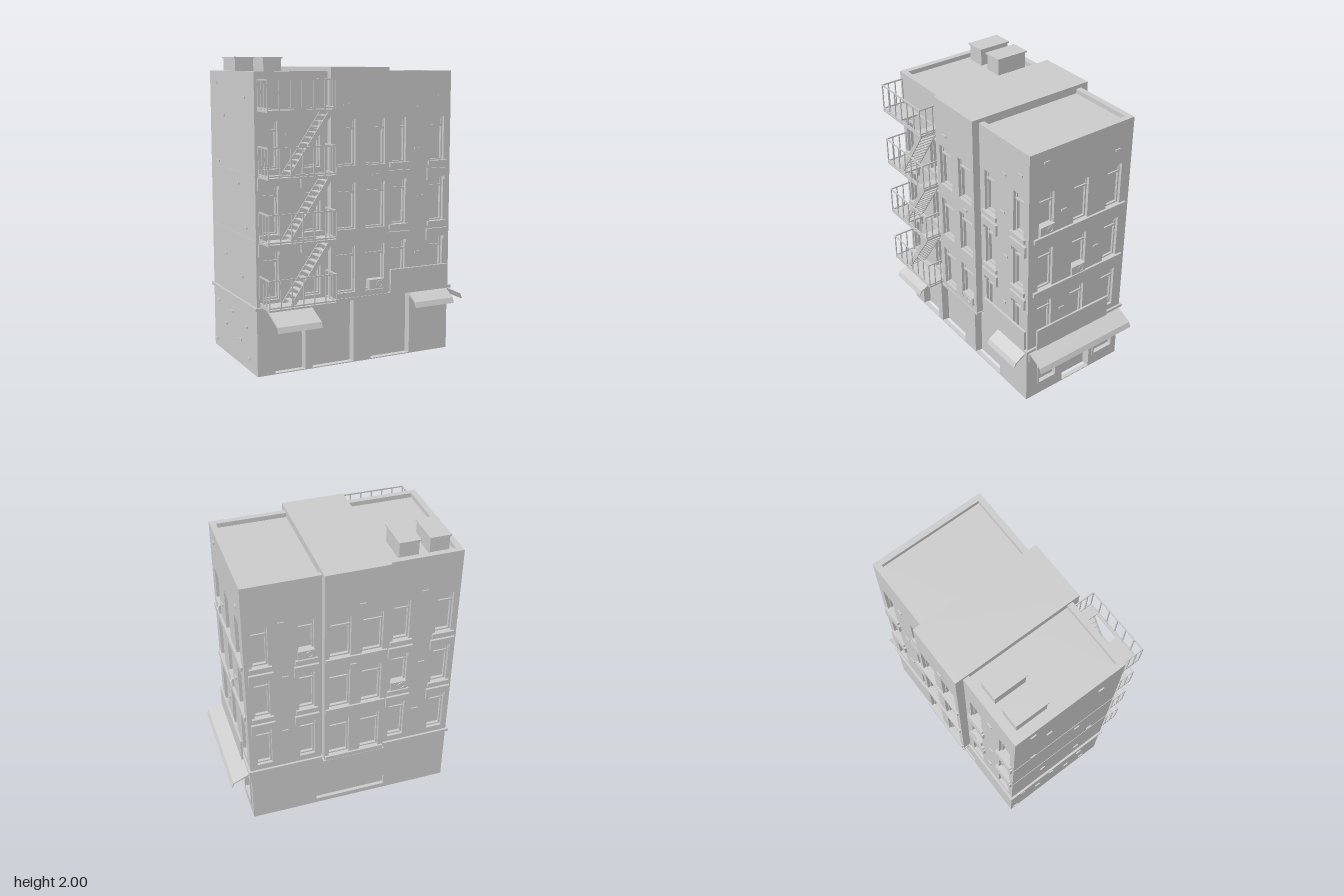
import * as THREE from 'three';

const mat = new THREE.MeshStandardMaterial({ color: 0xcccccc, flatShading: true, side: THREE.DoubleSide });

function add(parent, name, geo) {
  const m = new THREE.Mesh(geo, mat);
  m.name = name;
  parent.add(m);
  return m;
}

// Box given by its limits on each axis
function box(parent, name, x0, x1, y0, y1, z0, z1) {
  const m = add(parent, name, new THREE.BoxGeometry(x1 - x0, y1 - y0, z1 - z0));
  m.position.set((x0 + x1) / 2, (y0 + y1) / 2, (z0 + z1) / 2);
  return m;
}

function rect(T, u0, u1, y0, y1) {
  const s = new T();
  s.moveTo(u0, y0).lineTo(u1, y0).lineTo(u1, y1).lineTo(u0, y1).closePath();
  return s;
}

// Wall slab with rectangular openings [u0, u1, y0, y1]; its outer face lies at distance d
function wall(parent, name, u0, u1, y0, y1, d, thick, holes = []) {
  const s = rect(THREE.Shape, u0, u1, y0, y1);
  holes.forEach(h => s.holes.push(rect(THREE.Path, ...h)));
  const g = new THREE.ExtrudeGeometry(s, { depth: thick, bevelEnabled: false });
  g.translate(0, 0, d - thick);
  return add(parent, name, g);
}

// Rectangular frame around an opening
function frame(parent, name, [u0, u1, y0, y1], t, d, thick) {
  wall(parent, name, u0, u1, y0, y1, d, thick, [[u0 + t, u1 - t, y0 + t, y1 - t]]);
}

// Sash window set back into its opening
function sash(parent, h, d) {
  const [u0, u1, y0, y1] = h;
  frame(parent, 'windowFrame', h, 0.01, d - 0.02, 0.02);
  box(parent, 'upperSash', u0, u1, y1 - 0.06, y1, d - 0.04, d - 0.026);
  box(parent, 'sashRail', u0, u1, y1 - 0.068, y1 - 0.055, d - 0.04, d - 0.016);
}

function lintel(parent, [u0, u1, , y1], d) {
  box(parent, 'lintel', u0 - 0.028, u1 + 0.028, y1 + 0.005, y1 + 0.06, d, d + 0.016);
  for (const u of [u0 - 0.014, u1 + 0.014])
    box(parent, 'lintelEnd', u - 0.014, u + 0.014, y1 - 0.02, y1 + 0.005, d, d + 0.016);
}

function airConditioner(parent, u, y, d) {
  box(parent, 'airConditioner', u - 0.055, u + 0.055, y, y + 0.062, d - 0.04, d + 0.012);
  const fan = add(parent, 'airConditionerFan', new THREE.TorusGeometry(0.02, 0.003, 6, 16));
  fan.position.set(u + 0.02, y + 0.031, d + 0.012);
}

function bricks(parent, list, d) {
  for (const [u, y] of list) box(parent, 'raisedBrick', u - 0.02, u + 0.02, y - 0.007, y + 0.007, d - 0.01, d + 0.008);
}

// Bent awning sheet: slope followed by a short valance
function awning(parent, u0, u1, d, reach, top, low) {
  const s = new THREE.Shape();
  const knee = low + 0.035;
  s.moveTo(0, top).lineTo(reach - 0.015, knee).lineTo(reach, low).lineTo(reach - 0.008, low)
    .lineTo(reach - 0.022, knee - 0.006).lineTo(0, top - 0.012).closePath();
  const g = new THREE.ExtrudeGeometry(s, { depth: u1 - u0, bevelEnabled: false });
  g.rotateY(-Math.PI / 2).translate(u1, 0, d);
  add(parent, 'awning', g);
}

const rows = [[0.49, 0.795], [0.905, 1.205], [1.315, 1.61]];
const wingWindows = [[-0.73, -0.62], [-0.44, -0.33], [0.19, 0.295], [0.485, 0.59]];
const centreWindows = [[-0.24, -0.105], [-0.03, 0.11]];
const sideWindows = [[-0.27, -0.155], [0, 0.115], [0.27, 0.385]];
const grid = cols => rows.flatMap(r => cols.map(c => [...c, ...r]));
const mirror = cols => cols.map(([a, b]) => [-b, -a]);

// Front or back elevation: wings plus the projecting centre bay
function elevation(g, sign, dWing, dCentre) {
  const flip = c => (sign > 0 ? c : mirror(c));
  const wings = grid(flip(wingWindows)), centre = grid(flip(centreWindows));
  const [[w0, w1], [c0, c1]] = flip([[-0.77, 0.64], [-0.278, 0.14]]);
  wall(g, 'wingWall', w0, w1, 0.445, 1.91, dWing, 0.04, wings);
  wall(g, 'centreWall', c0, c1, 0.45, 1.935, dCentre, 0.04, centre);
  wings.forEach(h => {
    sash(g, h, dWing);
    if (h[3] < 1.5) lintel(g, h, dWing);
    if (h[2] > 0.6) box(g, 'sill', h[0] - 0.02, h[1] + 0.02, h[2] - 0.03, h[2], dWing - 0.02, dWing + 0.016);
  });
  centre.forEach(h => sash(g, h, dCentre));
}

// Balcony platforms, railings and stairs
function fireEscape(g) {
  const x0 = -0.75, x1 = -0.288, z0 = 0.345, z1 = 0.503, h = 0.19, t = 0.007;
  [0.46, 0.865, 1.27, 1.675].forEach((y, i) => {
    const s = rect(THREE.Shape, x0, x1, -z1, -z0);
    if (i) s.holes.push(rect(THREE.Path, -0.555, -0.365, -0.487, -0.357));
    const p = new THREE.ExtrudeGeometry(s, { depth: 0.012, bevelEnabled: false });
    p.rotateX(-Math.PI / 2).translate(0, y - 0.006, 0);
    add(g, 'platform', p);
    for (const ry of [y + 0.012, y + h - 0.008]) {
      box(g, 'frontRail', x0, x1, ry, ry + 0.009, z1 - t, z1);
      for (const x of [x0, x1 - t]) box(g, 'sideRail', x, x + t, ry, ry + 0.009, z0, z1);
    }
    for (let k = 0; k <= 6; k++) {
      const x = x0 + (x1 - x0 - t) * k / 6;
      box(g, 'railPost', x, x + t, y, y + h, z1 - t, z1);
    }
    for (const x of [x0, x1 - t])
      for (const z of [z0, 0.40, 0.45]) box(g, 'railPost', x, x + t, y, y + h, z, z + t);
    if (i === 3) return;
    // stairs up to the next platform
    const dx = 0.28, dy = 0.405;
    for (const z of [0.36, 0.478]) {
      const b = add(g, 'stairStringer', new THREE.BoxGeometry(Math.hypot(dx, dy), 0.03, 0.007));
      b.position.set(-0.595 + dx / 2, y + dy / 2, z + 0.003);
      b.rotation.z = Math.atan2(dy, dx);
    }
    for (let k = 1; k < 12; k++) {
      const x = -0.595 + dx * k / 12, ty = y + dy * k / 12;
      box(g, 'stairTread', x - 0.016, x + 0.016, ty - 0.003, ty + 0.003, 0.36, 0.485);
    }
  });
}

export function createModel() {
  const model = new THREE.Group();
  model.name = 'apartmentBuilding';
  const face = (name, angle) => {
    const g = new THREE.Group();
    g.name = name;
    g.rotation.y = angle;
    model.add(g);
    return g;
  };
  const front = face('frontSide', 0), right = face('plusXSide', Math.PI / 2);
  const back = face('backSide', Math.PI), left = face('minusXSide', -Math.PI / 2);

  // Cores carry the roofs and stand behind the window openings
  box(model, 'wingCore', -0.735, 0.605, 0.435, 1.88, -0.42, 0.305);
  box(model, 'centreCore', -0.278, 0.14, 0.45, 1.935, -0.475, 0.355);
  box(model, 'cornice', -0.785, 0.655, 0.428, 0.447, -0.475, 0.36);
  box(model, 'centreLedge', -0.285, 0.147, 0.437, 0.455, -0.525, 0.4);

  // Upper floors
  elevation(front, 1, 0.345, 0.395);
  elevation(back, -1, 0.46, 0.515);
  for (const [y] of rows) box(back, 'centreSill', -0.135, 0.27, y - 0.03, y, 0.5, 0.528);
  const sides = grid(sideWindows);
  wall(right, 'sideWall', -0.345, 0.46, 0.445, 1.91, 0.64, 0.04, sides);
  sides.forEach(h => sash(right, h, 0.64));
  for (const y of [0.875, 1.285]) box(right, 'sillBand', -0.31, 0.43, y, y + 0.03, 0.63, 0.655);
  wall(left, 'sideWall', -0.46, 0.345, 0.445, 1.91, 0.77, 0.04);
  for (const y of [0.865, 1.27]) box(left, 'floorSeam', -0.46, 0.345, y, y + 0.008, 0.765, 0.773);

  // Ground floor, open underneath
  const shops = [[-0.65, -0.44, 0.006, 0.33], [-0.39, -0.09, 0.006, 0.425], [0.04, 0.335, 0.006, 0.425]];
  wall(front, 'shopWall', -0.77, 0.635, 0, 0.43, 0.345, 0.03, shops);
  shops.forEach(([a, b, , t]) => {
    box(front, 'shopPanel', a - 0.01, b + 0.01, 0, t + 0.003, 0.28, 0.29);
    for (const u of [a - 0.008, b]) box(front, 'shopReveal', u, u + 0.008, 0, t, 0.28, 0.34);
  });
  const shopWindows = [[-0.255, -0.09, 0.09, 0.345], [0.235, 0.42, 0.09, 0.345]];
  const entry = [-0.035, 0.205, 0.006, 0.345];
  wall(right, 'shopWall', -0.345, 0.46, 0, 0.43, 0.635, 0.03, [...shopWindows, entry]);
  shopWindows.forEach(h => {
    frame(right, 'shopWindowFrame', h, 0.014, 0.642, 0.03);
    box(right, 'shopWindowPane', h[0], h[1], h[2], h[3], 0.6, 0.608);
  });
  box(right, 'entryPanel', -0.045, 0.215, 0, 0.35, 0.57, 0.578);
  for (const u of [-0.043, 0.205]) box(right, 'entryReveal', u, u + 0.008, 0, 0.345, 0.57, 0.63);
  box(right, 'shopBand', -0.33, 0.455, 0.335, 0.425, 0.63, 0.645);
  const vent = [-0.18, 0.32, 0.035, 0.12];
  wall(back, 'groundWall', -0.635, 0.77, 0, 0.43, 0.46, 0.03, [vent]);
  box(back, 'basementPane', -0.19, 0.33, 0.03, 0.125, 0.428, 0.435);
  wall(left, 'groundWall', -0.46, 0.345, 0, 0.43, 0.77, 0.03);

  // Awnings and blank boards
  awning(front, -0.70, -0.40, 0.345, 0.18, 0.425, 0.32);
  awning(front, 0.33, 0.63, 0.345, 0.1, 0.425, 0.34);
  awning(right, -0.33, 0.455, 0.635, 0.14, 0.425, 0.33);
  box(front, 'blankBoard', 0.18, 0.625, 0.447, 0.6, 0.345, 0.362);
  box(right, 'blankBoard', -0.285, 0.32, 0.435, 0.6, 0.655, 0.668);
  for (const u of [-0.2, 0.23]) box(right, 'boardBracket', u, u + 0.015, 0.5, 0.52, 0.63, 0.656);

  // Window units
  airConditioner(front, 0.05, 0.497, 0.395);
  airConditioner(right, 0.057, 0.91, 0.64);
  airConditioner(right, -0.208, 1.325, 0.64);
  airConditioner(back, -0.243, 1.32, 0.46);
  airConditioner(back, 0.385, 0.91, 0.46);

  // Scattered raised bricks
  bricks(front, [[0.4, 1.68], [0.56, 1.75], [0.38, 1.4], [0.41, 1.08], [0.39, 0.7], [-0.55, 1.53]], 0.345);
  bricks(front, [[-0.17, 1.7], [0.04, 1.25]], 0.395);
  bricks(back, [[-0.4, 1.62], [-0.38, 1.2], [0.53, 1.66], [0.54, 1.1], [0.52, 0.7], [-0.39, 0.75]], 0.46);
  bricks(back, [[0.1, 1.69], [0.05, 1.24]], 0.515);
  bricks(right, [[-0.22, 1.83], [0.34, 1.72], [-0.08, 1.45], [0.2, 1.06], [-0.07, 0.68]], 0.64);
  bricks(left, [[-0.33, 1.83], [0.18, 1.75], [-0.2, 1.62], [-0.31, 1.31], [0.05, 1.2], [0.18, 0.93], [-0.2, 0.7],
    [0.1, 0.6], [-0.36, 0.34], [-0.1, 0.32], [0.16, 0.28], [-0.22, 0.21], [0.05, 0.17], [-0.42, 0.05], [0.2, 0.08]], 0.77);

  // Rooftop vents with thin caps
  for (const x of [-0.632, -0.433]) {
    box(model, 'roofVent', x - 0.064, x + 0.064, 1.87, 1.992, -0.395, -0.175);
    box(model, 'roofVentCap', x - 0.071, x + 0.071, 1.99, 2, -0.405, -0.165);
  }

  const escape = new THREE.Group();
  escape.name = 'fireEscape';
  model.add(escape);
  fireEscape(escape);
  return model;
}
